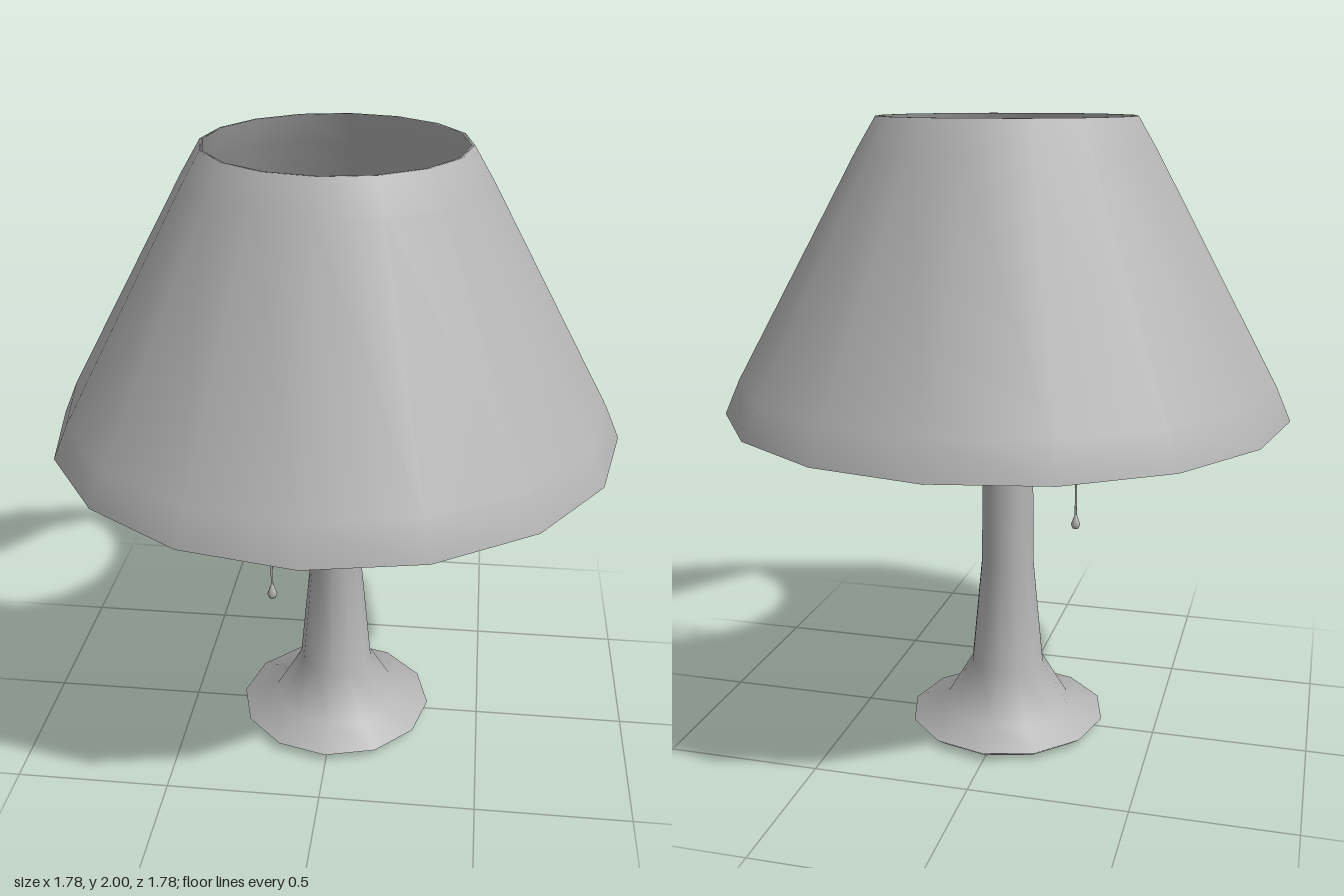
import * as THREE from 'three';

export function createModel() {
  const model = new THREE.Group();
  const grey = new THREE.MeshStandardMaterial({ color: 0xb4b4b4 });
  grey.name = 'plain grey';

  const add = (name, geometry, parent = model) => {
    const mesh = new THREE.Mesh(geometry, grey);
    mesh.name = name;
    parent.add(mesh);
    return mesh;
  };
  const lathe = (points, sides) =>
    new THREE.LatheGeometry(points.map(([r, y]) => new THREE.Vector2(r, y)), sides);

  // Tapered round bar between two points
  const bar = (name, from, to, r0, r1, sides, parent) => {
    const a = new THREE.Vector3(...from);
    const b = new THREE.Vector3(...to);
    const mesh = add(name, new THREE.CylinderGeometry(r1, r0, a.distanceTo(b), sides), parent);
    mesh.position.copy(a).add(b).multiplyScalar(0.5);
    mesh.quaternion.setFromUnitVectors(new THREE.Vector3(0, 1, 0), b.sub(a).normalize());
    return mesh;
  };

  // Flared foot and tapering column
  add('baseAndStem', lathe([
    [0, 0], [0.285, 0], [0.29, 0.003], [0.325, 0.028], [0.21, 0.065],
    [0.122, 0.215], [0.088, 0.57], [0.083, 1.08], [0.078, 1.12], [0.06, 1.16],
  ], 12));

  // Bulb with a narrow neck
  add('bulb', lathe([
    [0.06, 1.15], [0.062, 1.22], [0.085, 1.3], [0.096, 1.37],
    [0.085, 1.42], [0.05, 1.457], [0, 1.47],
  ], 16));

  // Thin faceted shade, outside up and inside down as one closed shell
  add('shade', lathe([
    [0.635, 1.55], [0.83, 1.2], [0.877, 1.1], [0.888, 1.1], [0.842, 1.205],
    [0.46, 1.9], [0.4, 2], [0.39, 2], [0.448, 1.895], [0.635, 1.55],
  ], 16));

  // Four arms that carry the shade
  const arms = new THREE.Group();
  arms.name = 'shadeArms';
  model.add(arms);
  for (let i = 0; i < 4; i++) {
    const c = Math.round(Math.cos(i * Math.PI / 2));
    const s = Math.round(Math.sin(i * Math.PI / 2));
    const at = (r, y) => [c * r, y, s * r];
    bar('armRoot', at(0.05, 1.09), at(0.22, 1.1), 0.038, 0.019, 8, arms);
    bar('armRod', at(0.21, 1.1), at(0.875, 1.105), 0.019, 0.01, 8, arms);
  }

  // Pull switch: side arm, cord and drop-shaped knob
  const pull = new THREE.Group();
  pull.name = 'pullSwitch';
  model.add(pull);
  const x = -0.175, z = 0.265;
  bar('switchArm', [-0.03, 1.085, 0.045], [x, 1.075, z], 0.025, 0.012, 8, pull);
  bar('cordCap', [x, 1.08, z], [x, 1.045, z], 0.012, 0.004, 8, pull);
  bar('cord', [x, 1.06, z], [x, 0.64, z], 0.004, 0.004, 6, pull);
  const knob = add('knob', lathe([
    [0, -0.018], [0.011, -0.014], [0.016, 0], [0.011, 0.014], [0.004, 0.035], [0, 0.04],
  ], 10), pull);
  knob.position.set(x, 0.618, z);

  return model;
}
